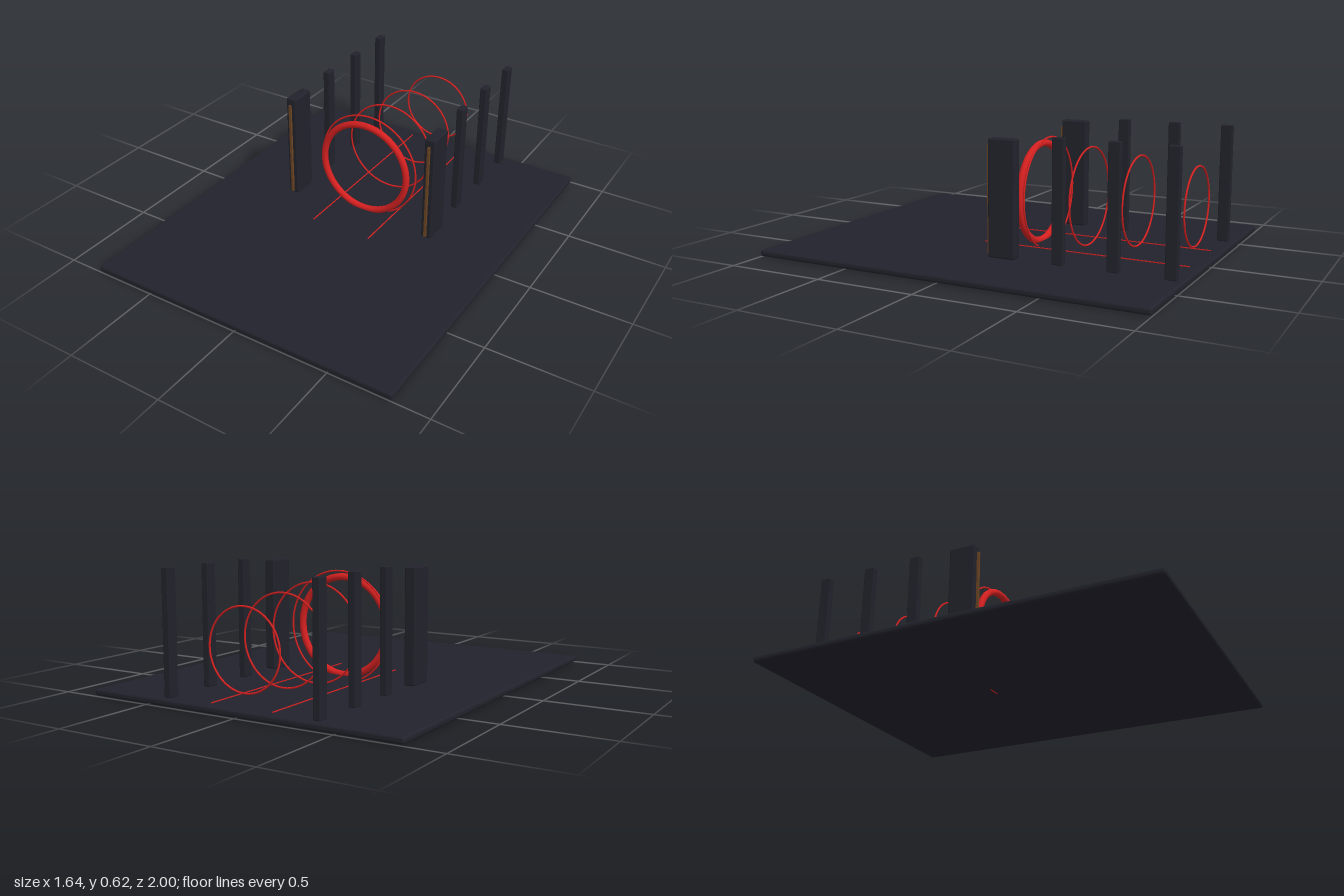
import * as THREE from 'three';
import { RoundedBoxGeometry } from 'three/addons/geometries/RoundedBoxGeometry.js';

const material = (name, color) => {
  const m = new THREE.MeshStandardMaterial({ color });
  m.name = name;
  return m;
};

export function createModel() {
  const model = new THREE.Group();
  model.name = 'ringGate';
  const slate = material('dark slate', 0x22222c);
  const red = material('signal red', 0xd42020);
  const bronze = material('dark bronze', 0x6b4423);

  const add = (name, geometry, mat, x, y, z) => {
    const mesh = new THREE.Mesh(geometry, mat);
    mesh.name = name;
    mesh.position.set(x, y, z);
    model.add(mesh);
  };
  // Box with softened edges, placed by its bottom centre
  const block = (name, w, h, d, r, x, y, z) =>
    add(name, new RoundedBoxGeometry(w, h, d, 3, r), slate, x, y + h / 2, z);

  // Floor slab
  const floorTop = 0.036;
  block('floor', 1.64, 0.032, 2, 0.012, 0, 0.004, 0);

  for (const [side, s] of [['left', 1], ['right', -1]]) {
    // Wide gate pylon with a slim strip on its front
    block(`${side}Pylon`, 0.056, 0.565, 0.138, 0.008, s * 0.405, floorTop, -0.119);
    add(`${side}PylonStrip`, new THREE.BoxGeometry(0.012, 0.515, 0.012), bronze, s * 0.405, 0.308, -0.042);

    // Row of slender posts behind it
    [-0.4, -0.67, -0.94].forEach((z, i) =>
      block(`${side}Post${i + 1}`, 0.035, 0.585, 0.056, 0.004, s * 0.4, floorTop, z));

    // Guide line on the floor
    add(`${side}GuideLine`, new THREE.BoxGeometry(0.005, 0.004, 1.06), red, s * 0.165, floorTop + 0.002, -0.415);
  }

  // Thick gate ring and the thin rings receding behind it: radius, tube, z
  const rings = [
    [0.245, 0.0175, -0.12],
    [0.278, 0.0045, -0.16],
    [0.242, 0.0045, -0.38],
    [0.218, 0.0045, -0.635],
    [0.189, 0.0045, -0.92],
  ];
  rings.forEach(([radius, tube, z], i) =>
    add(i ? `thinRing${i}` : 'gateRing', new THREE.TorusGeometry(radius, tube, 12, 72), red, 0, 0.283, z));

  return model;
}
